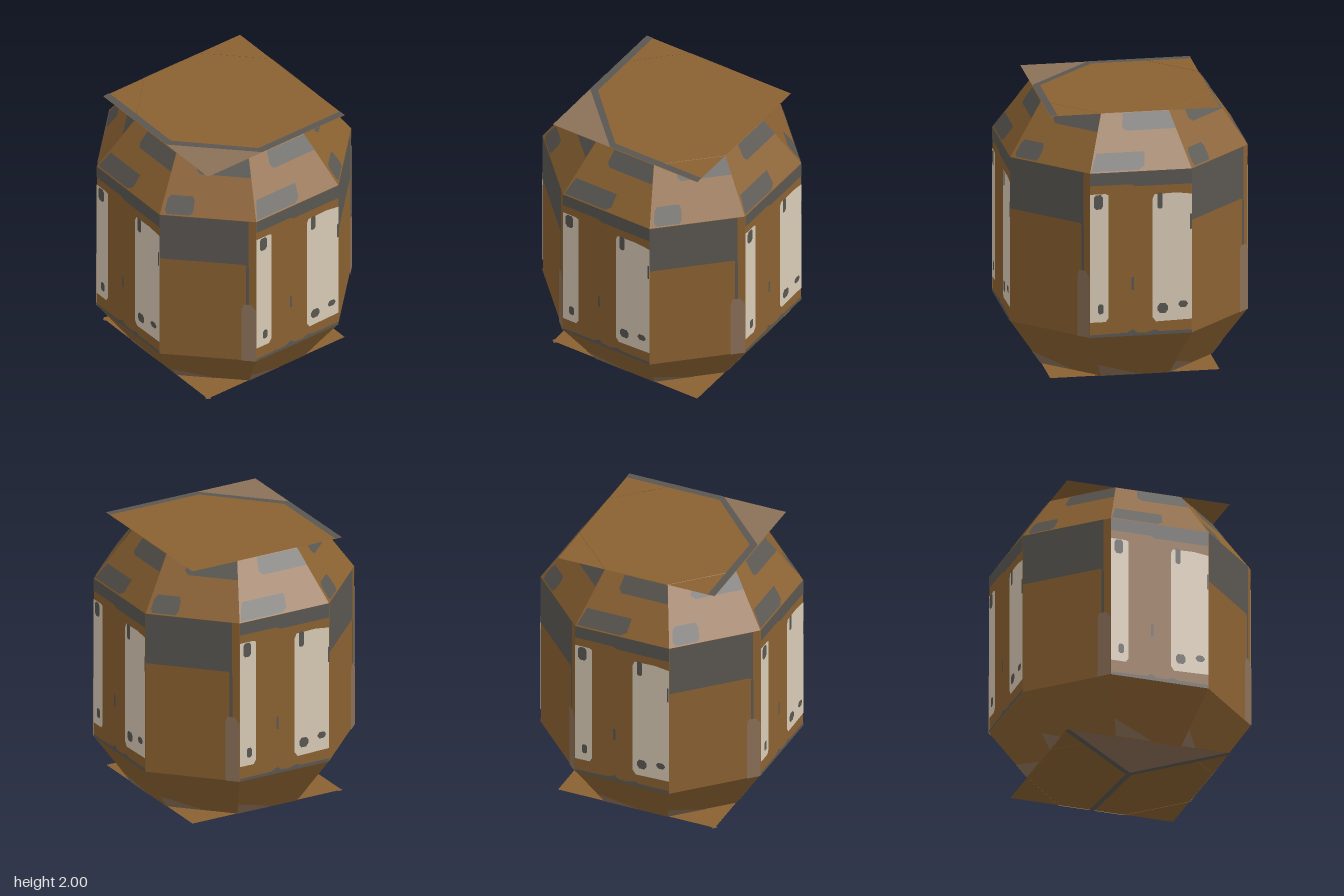
import * as THREE from 'three';

const paint = (name, color) => {
  const m = new THREE.MeshStandardMaterial({ color, side: THREE.DoubleSide });
  m.name = name;
  return m;
};

export function createModel() {
  const orange = paint('rust orange', 0x8a6131);
  const grey = paint('worn grey', 0x5a5752);
  const cream = paint('cream', 0xd8cab5);
  const tan = paint('dusty tan', 0x8b7058);
  const model = new THREE.Group();
  model.name = 'octagonalBarrel';

  // Side sections: half width and distance from the axis, at the belly and at the ends
  const S = Math.SQRT2;
  const MAIN = { midW: 0.375, midD: 0.875, endW: 0.25, endD: 0.625 };
  const DIAG = { midW: 0.25 * S, midD: 0.625 * S, endW: 0.1875 * S, endD: 0.4375 * S };

  // Map (fraction across, height) to a point on a barrel side facing +z
  function onSide(side, f, y, lift) {
    const t = Math.min(1, Math.min(y, 2 - y) / 0.375);
    const w = THREE.MathUtils.lerp(side.endW, side.midW, t);
    const d = THREE.MathUtils.lerp(side.endD, side.midD, t);
    return [(f * 2 - 1) * w, y, d + lift];
  }

  // Flat polygon wrapped onto a side
  function plate(group, side, name, mat, pts, lift = 0.004) {
    const geo = new THREE.ShapeGeometry(new THREE.Shape(pts.map(p => new THREE.Vector2(...p))));
    const pos = geo.attributes.position;
    for (let i = 0; i < pos.count; i++) pos.setXYZ(i, ...onSide(side, pos.getX(i), pos.getY(i), lift));
    geo.computeVertexNormals();
    const mesh = new THREE.Mesh(geo, mat);
    mesh.name = name;
    group.add(mesh);
  }
  const rect = (l, r, b, t) => [[l, b], [r, b], [r, t], [l, t]];
  // Rectangle with cut corners
  const soft = (l, r, b, t, c = 0.025) => [[l + c, b], [r - c, b], [r, b + c], [r, t - c],
    [r - c, t], [l + c, t], [l, t - c], [l, b + c]];
  const fx = x => x / 0.75 + 0.5;

  // Three stacked panels and the tan scuff at the foot, common to all sides
  function shell(group, side) {
    plate(group, side, 'lowerTaper', orange, rect(0, 1, 0, 0.375), 0);
    plate(group, side, 'wall', orange, rect(0, 1, 0.375, 1.625), 0);
    plate(group, side, 'upperTaper', orange, rect(0, 1, 1.625, 2), 0);
    plate(group, side, 'footScuff', tan, [[0, 0.005], [0.55, 0.005], [0.25, 0.06], [0, 0.11]]);
    plate(group, side, 'rimPatch', grey,
      [[0.36, 1.885], [1, 1.885], [1, 1.998], [0.32, 1.998], [0.31, 1.91]]);
  }

  function mainSide() {
    const g = new THREE.Group();
    g.name = 'mainSide';
    shell(g, MAIN);
    plate(g, MAIN, 'shoulderPatch', grey,
      [[0.01, 1.635], [0.48, 1.635], [0.54, 1.66], [0.56, 1.75], [0.03, 1.75]]);
    // Bands along the top and bottom of the wall
    plate(g, MAIN, 'topBand', grey,
      [[0, 1.53], [0.4, 1.53], [0.45, 1.513], [1, 1.513], [1, 1.625], [0, 1.625]]);
    plate(g, MAIN, 'bottomBand', grey, [[0, 0.375], [1, 0.375], [1, 0.4], [0.68, 0.4],
      [0.64, 0.415], [0.55, 0.395], [0.46, 0.4], [0.42, 0.425], [0.36, 0.4], [0, 0.395]]);
    // Cream strips
    plate(g, MAIN, 'leftStrip', cream, [[0, 0.49], [fx(-0.26), 0.49], [fx(-0.24), 0.52],
      [fx(-0.24), 1.455], [fx(-0.26), 1.465], [0, 1.465]]);
    plate(g, MAIN, 'rightStrip', cream, [[fx(0.11), 0.475], [1, 0.482], [1, 1.435],
      [fx(0.26), 1.45], [fx(0.1), 1.445], [fx(0.085), 1.41], [fx(0.085), 0.51]]);
    // Worn marks: centre x, centre y, width, height
    const marks = [[-0.315, 1.405, 0.065, 0.11], [-0.297, 0.59, 0.04, 0.075],
      [0.14, 1.395, 0.04, 0.12], [0.16, 0.575, 0.075, 0.075], [0.31, 0.6, 0.07, 0.05],
      [-0.06, 0.775, 0.018, 0.1], [0.368, 1.225, 0.014, 0.12]];
    for (const [x, y, w, h] of marks) {
      plate(g, MAIN, 'wornMark', grey,
        soft(fx(x - w / 2), fx(x + w / 2), y - h / 2, y + h / 2, w * 0.3), 0.007);
    }
    return g;
  }

  function cornerSide() {
    const g = new THREE.Group();
    g.name = 'cornerSide';
    shell(g, DIAG);
    plate(g, DIAG, 'shoulderPatch', grey, soft(0.04, 0.34, 1.635, 1.75));
    plate(g, DIAG, 'greyPanel', grey, [[0, 1.235], [0.88, 1.235], [0.92, 1.21], [0.92, 1.625], [0, 1.625]]);
    plate(g, DIAG, 'greySeam', grey, rect(0.895, 0.925, 0.87, 1.215));
    plate(g, DIAG, 'tanStrip', tan,
      [[0.85, 0.375], [1, 0.375], [1, 0.83], [0.95, 0.88], [0.87, 0.88], [0.85, 0.84]], 0.006);
    return g;
  }

  for (let i = 0; i < 4; i++) {
    const main = mainSide(), corner = cornerSide();
    main.rotation.y = i * Math.PI / 2;
    corner.rotation.y = (i + 0.5) * Math.PI / 2;
    model.add(main, corner);
  }

  // Flat square end plates; points are (x, z)
  function flat(name, mat, y, pts, up) {
    const geo = new THREE.ShapeGeometry(new THREE.Shape(pts.map(([x, z]) => new THREE.Vector2(x, up ? -z : z))));
    geo.rotateX(up ? -Math.PI / 2 : Math.PI / 2);
    const mesh = new THREE.Mesh(geo, mat);
    mesh.name = name;
    mesh.position.y = y;
    model.add(mesh);
  }
  const R = 0.625;
  const square = rect(-R, R, -R, R);
  flat('topPlate', orange, 1.998, square, true);
  flat('topCorner', tan, 2, [[-R, 0.1], [-0.1, R], [-R, R]], true);
  flat('topTrim', grey, 2.002, [[-R, -R], [-0.57, -R], [-0.57, 0.11], [-0.12, 0.57], [R, 0.57],
    [R, R], [-0.13, R], [-R, 0.13]], true);

  flat('bottomPlate', orange, 0.004, square, false);
  flat('bottomTriangle', tan, 0.002, [[-0.05, 0.05], [-R, R], [-R, -R]], false);
  // Grey seams meeting near the middle of the bottom
  const hub = [-0.05, 0.05];
  for (const end of [[R, 0], [-R, R], [-R, -R]]) {
    const dx = end[0] - hub[0], dz = end[1] - hub[1], k = 0.02 / Math.hypot(dx, dz);
    const nx = -dz * k, nz = dx * k;
    flat('bottomSeam', grey, 0, [[hub[0] + nx, hub[1] + nz], [hub[0] - nx, hub[1] - nz],
      [end[0] - nx, end[1] - nz], [end[0] + nx, end[1] + nz]], false);
  }
  return model;
}
